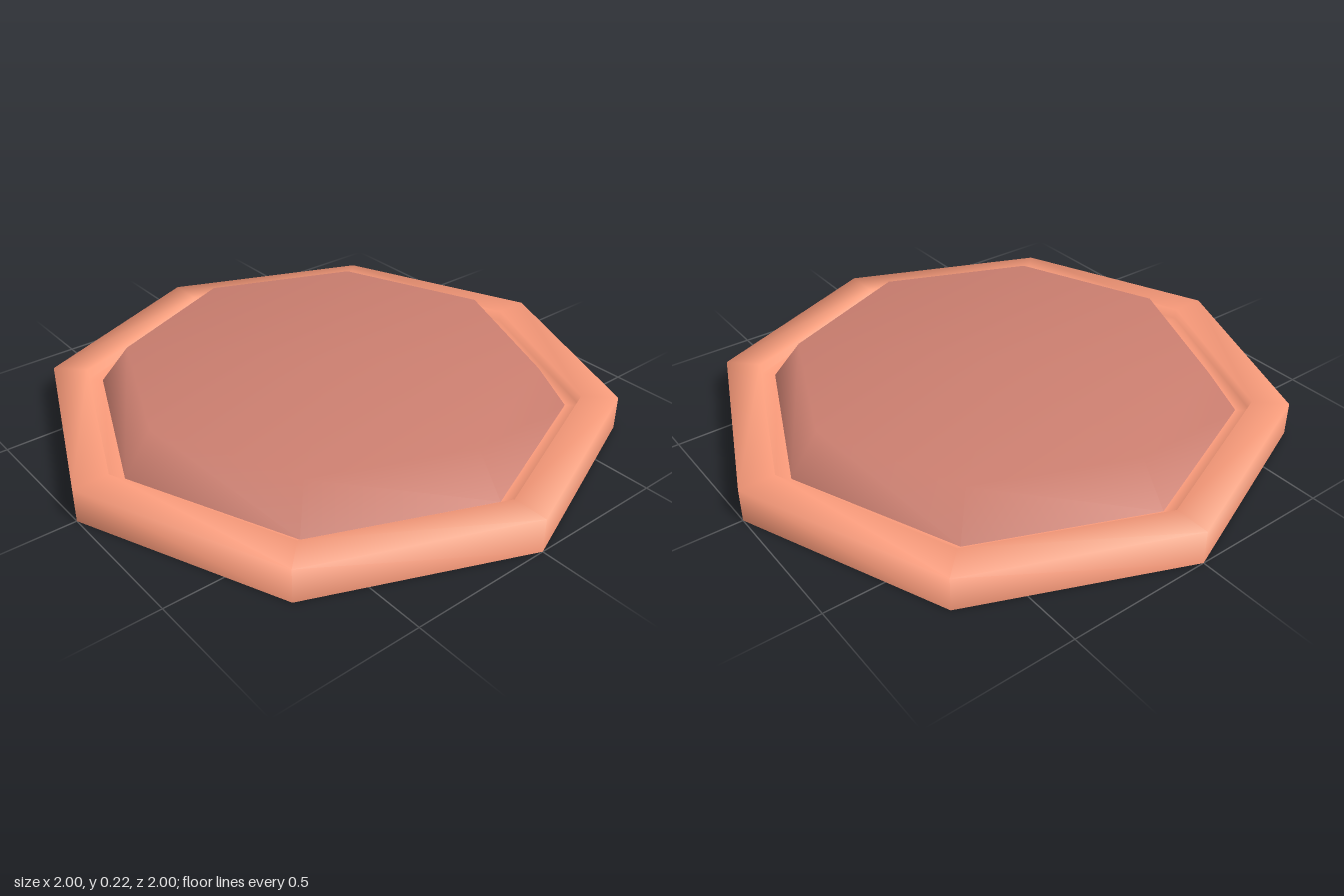
import * as THREE from 'three';

const SIDES = 8;

// Eight-sided smooth shell turned from a profile of [radius, height] points
function shell(name, color, profile) {
  const points = profile.map(([r, y]) => new THREE.Vector2(r, y));
  const material = new THREE.MeshStandardMaterial({ color, side: THREE.DoubleSide });
  const mesh = new THREE.Mesh(new THREE.LatheGeometry(points, SIDES), material);
  mesh.name = name;
  return mesh;
}

export function createModel() {
  const group = new THREE.Group();
  group.name = 'octagonalPlate';

  // Outer rim, open underneath: wall, flat top, inner step and ledge
  group.add(shell('rim', 0xff9e7d, [
    [1, 0], [1, 0.12], [0.875, 0.12], [0.875, 0.08], [0.82, 0.08],
  ]));

  // Raised centre panel with bevelled sides, hollow underneath
  group.add(shell('raisedPanel', 0xcc7f70, [
    [0.823, 0.08], [0.72, 0.22], [0, 0.22],
  ]));

  return group;
}
